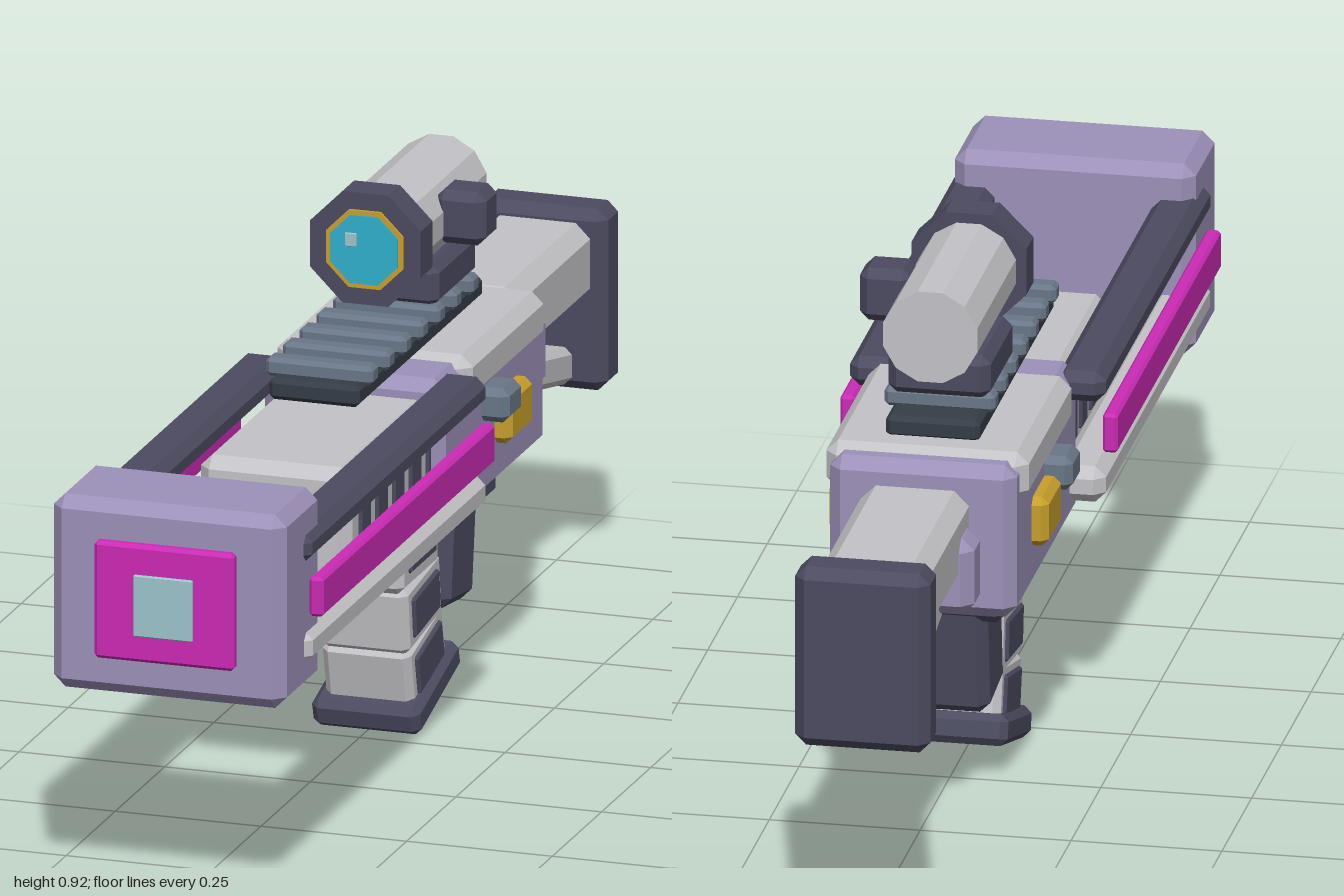
import * as THREE from 'three';
import { ConvexGeometry } from 'three/addons/geometries/ConvexGeometry.js';

function mat(name, color) {
  const m = new THREE.MeshStandardMaterial({ color });
  m.name = name;
  return m;
}

// Box with flat chamfers on every edge
function chamferBox(w, h, d, c) {
  const pts = [];
  for (const x of [-1, 1]) for (const y of [-1, 1]) for (const z of [-1, 1]) {
    const [X, Y, Z] = [x * w / 2, y * h / 2, z * d / 2];
    pts.push(
      new THREE.Vector3(X, Y - y * c, Z - z * c),
      new THREE.Vector3(X - x * c, Y, Z - z * c),
      new THREE.Vector3(X - x * c, Y - y * c, Z));
  }
  return new ConvexGeometry(pts);
}

// Faceted cylinder along z, with flats on top and sides; r is the apothem
function prism(r, z0, z1, sides) {
  const R = r / Math.cos(Math.PI / sides);
  const g = new THREE.CylinderGeometry(R, R, z1 - z0, sides).toNonIndexed();
  g.rotateY(Math.PI / sides).rotateX(Math.PI / 2).translate(0, 0, (z0 + z1) / 2);
  g.computeVertexNormals();
  return g;
}

export function createModel() {
  const model = new THREE.Group();
  model.name = 'blaster';
  const purple = mat('purple', 0x9d91b9), dark = mat('dark violet', 0x4c4b60);
  const light = mat('light grey', 0xc4c4c8), magenta = mat('magenta', 0xcc2bb5);
  const pale = mat('pale teal', 0x9cc5cc), cyan = mat('lens cyan', 0x2fb0cc);
  const gold = mat('gold', 0xc9a02c), steel = mat('steel', 0x6a7788);
  const slate = mat('slate', 0x353d46);

  function add(name, geo, m, parent = model) {
    const mesh = new THREE.Mesh(geo, m);
    mesh.name = name;
    parent.add(mesh);
    return mesh;
  }
  // Chamfered box given by its extents on each axis
  function box(name, m, [x0, x1], [y0, y1], [z0, z1], c = 0.01, parent = model) {
    const mesh = add(name, chamferBox(x1 - x0, y1 - y0, z1 - z0, c), m, parent);
    mesh.position.set((x0 + x1) / 2, (y0 + y1) / 2, (z0 + z1) / 2);
    return mesh;
  }
  const half = (w) => [-w, w];

  // Muzzle block and emitter
  box('muzzleBlock', purple, half(0.2), [0.365, 0.695], [0.785, 0.98], 0.02);
  box('emitterFrame', magenta, half(0.12), [0.43, 0.63], [0.965, 0.995], 0.006);
  box('emitterCore', pale, half(0.051), [0.475, 0.58], [0.99, 1.0], 0.002);

  // Side rails, glowing strips, latches and vents
  for (const s of [-1, 1]) {
    const side = (a, b) => (s > 0 ? [a, b] : [-b, -a]);
    box('upperRail', dark, side(0.13, 0.212), [0.585, 0.637], [-0.03, 0.88], 0.016);
    box('lowerRail', light, side(0.13, 0.212), [0.41, 0.472], [-0.03, 0.88], 0.018);
    box('glowStrip', magenta, side(0.205, 0.23), [0.495, 0.562], [-0.01, 0.865], 0.005);
    box('selector', steel, side(0.13, 0.2), [0.51, 0.568], [-0.24, -0.16], 0.012);
    box('latch', gold, side(0.13, 0.182), [0.452, 0.537], [-0.35, -0.228], 0.012);
    for (let i = 0; i < 5; i++) {
      const z = 0.365 - i * 0.085;
      box('vent', dark, side(0.12, 0.136), [0.465, 0.575], [z - 0.025, z + 0.025], 0.003);
    }
  }

  // Forward housing and underplate
  box('forwardHousing', light, half(0.13), [0.405, 0.605], [-0.03, 0.44], 0.02);
  box('underplate', slate, half(0.11), [0.365, 0.41], [-0.02, 0.4], 0.012);

  // Receiver and its cover
  box('receiver', purple, half(0.155), [0.375, 0.638], [-0.49, 0.04], 0.02);
  box('receiverCover', light, half(0.168), [0.565, 0.65], [-0.457, -0.06], 0.02);

  // Top accessory rail with teeth
  box('topRail', slate, half(0.078), [0.645, 0.682], [-0.4, 0.235], 0.008);
  for (let i = 0; i < 7; i++) {
    const z = 0.19 - i * 0.085;
    box('railTooth', steel, half(0.092), [0.676, 0.708], [z - 0.019, z + 0.019], 0.007);
  }

  // Scope
  const scope = new THREE.Group();
  scope.name = 'scope';
  model.add(scope);
  box('scopeMount', dark, half(0.085), [0.7, 0.775], [-0.35, -0.14], 0.015, scope);
  const optic = new THREE.Group();
  optic.name = 'optic';
  optic.position.y = 0.83;
  scope.add(optic);
  add('scopeTube', prism(0.078, -0.415, -0.04, 12), light, optic);
  add('scopeBezel', prism(0.095, -0.09, -0.03, 8), dark, optic);
  add('lensRing', prism(0.066, -0.04, -0.025, 8), gold, optic);
  add('lens', prism(0.058, -0.035, -0.022, 8), cyan, optic);
  box('lensGlint', pale, [-0.032, -0.012], [0.005, 0.028], [-0.024, -0.019], 0.001, optic);
  box('scopeKnob', dark, [0.06, 0.147], [-0.035, 0.056], [-0.277, -0.195], 0.015, optic);

  // Stock
  box('stockTube', light, half(0.09), [0.482, 0.616], [-0.93, -0.52], 0.025);
  box('stockClamp', purple, half(0.112), [0.428, 0.56], [-0.632, -0.545], 0.02);
  const strut = add('stockStrut', chamferBox(0.11, 0.062, 0.35, 0.012), light);
  strut.position.set(0, 0.402, -0.76);
  strut.rotation.x = -0.22;
  box('buttPad', dark, half(0.112), [0.325, 0.635], [-1.0, -0.915], 0.018);

  // Pistol grip
  box('gripCollar', dark, half(0.113), [0.32, 0.385], [-0.37, -0.23], 0.015);
  const grip = add('grip', chamferBox(0.165, 0.25, 0.142, 0.018), dark);
  grip.position.set(0, 0.282, -0.289);
  grip.rotation.x = -0.13;

  // Curved magazine: [y, z, tilt, height, depth]
  const segments = [
    [0.32, -0.088, 0, 0.13, 0.19],
    [0.21, -0.107, 0.12, 0.118, 0.18],
    [0.113, -0.125, 0.23, 0.115, 0.18]];
  for (const [y, z, tilt, h, d] of segments) {
    const seg = new THREE.Group();
    seg.name = 'magazineSegment';
    seg.position.set(0, y, z);
    seg.rotation.x = tilt * -1 + 2 * tilt;
    model.add(seg);
    add('magazineBody', chamferBox(0.152, h, d, 0.012), light, seg);
    add('magazinePanel', chamferBox(0.164, 0.07, 0.128, 0.004), dark, seg);
  }
  const base = add('magazineBase', chamferBox(0.186, 0.052, 0.225, 0.012), dark);
  base.position.set(0, 0.058, -0.135);
  base.rotation.x = 0.28;

  return model;
}
